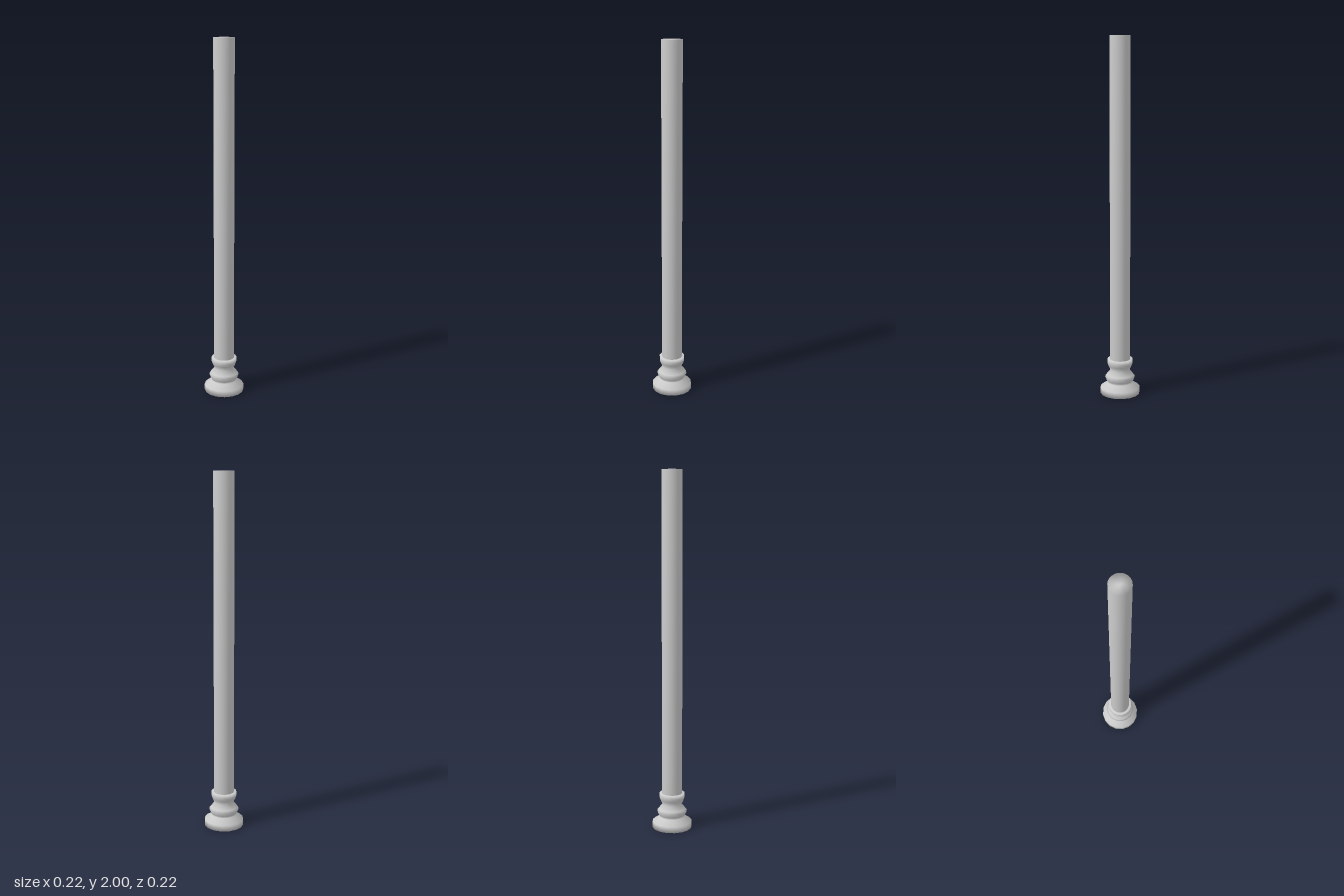
import * as THREE from 'three';

const material = new THREE.MeshStandardMaterial({ color: 0xcccccc });

// Smoothly shaded turned part from [radius, height] pairs, bottom to top
function turned(name, profile, sides) {
  const points = profile.map(([r, y]) => new THREE.Vector2(r, y));
  const mesh = new THREE.Mesh(new THREE.LatheGeometry(points, sides), material);
  mesh.name = name;
  return mesh;
}

export function createModel() {
  const group = new THREE.Group();
  group.name = 'post';

  // Moulded foot: plinth, waist, ring, neck and collar
  group.add(turned('base', [
    [0, 0], [0.112, 0], [0.112, 0.035], [0.07, 0.062],
    [0.076, 0.075], [0.085, 0.097], [0.076, 0.108], [0.054, 0.136],
    [0.067, 0.162], [0.072, 0.178], [0.072, 0.2], [0, 0.2],
  ], 16));

  // Long plain pole with closed ends
  group.add(turned('shaft', [
    [0, 0.19], [0.057, 0.19], [0.057, 2], [0, 2],
  ], 32));

  return group;
}
